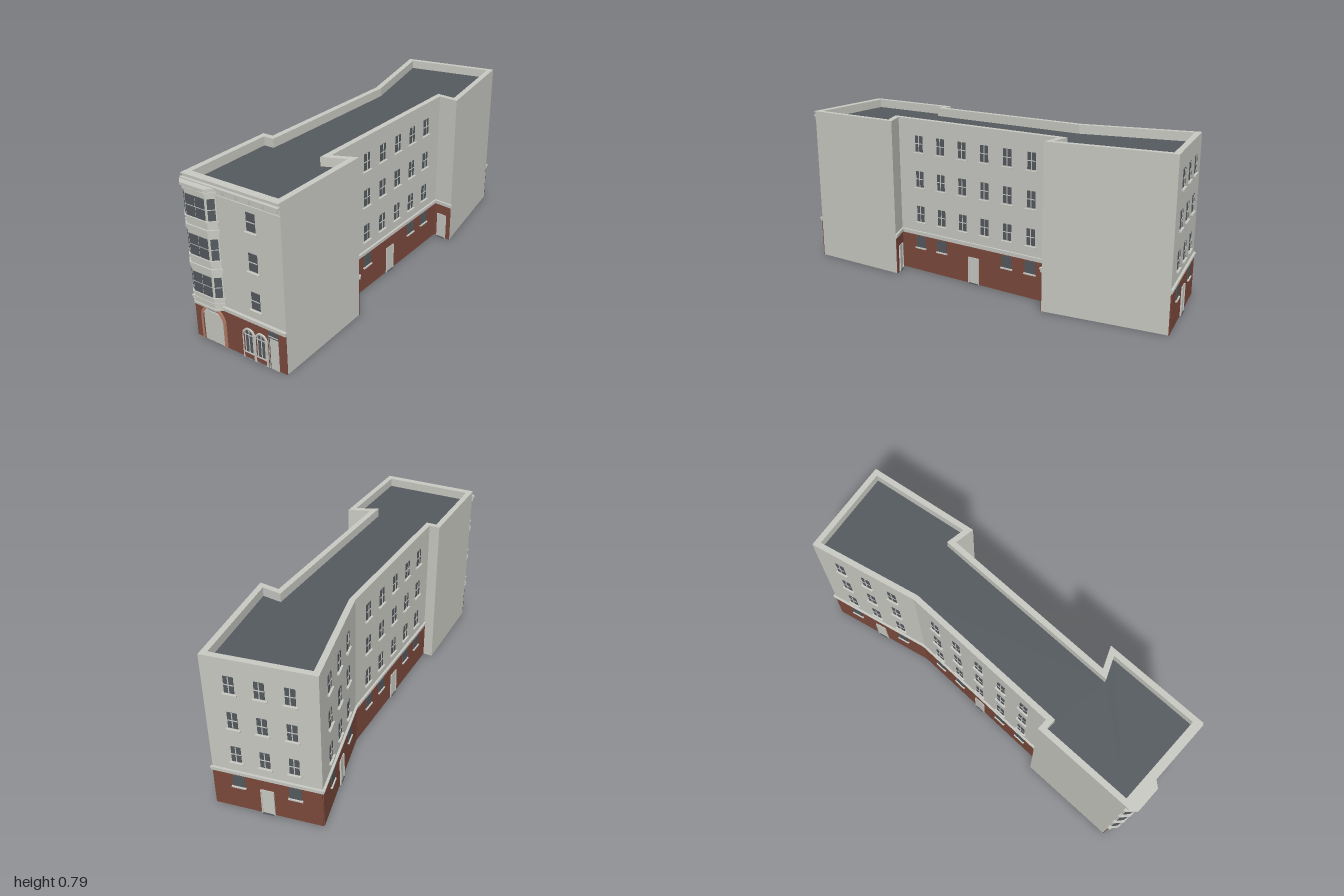
import * as THREE from 'three';

const paint = (name, color) => { const m = new THREE.MeshStandardMaterial({ color }); m.name = name; return m; };

export function createModel() {
  const render = paint('pale render', 0xcbcbc5);
  const dark = paint('slate glass', 0x555b60);
  const brick = paint('red brick', 0x7d4a3d);
  const salmon = paint('salmon brick', 0xb8806a);
  const root = new THREE.Group();
  root.name = 'building';

  const mesh = (parent, name, geo, mat) => {
    const m = new THREE.Mesh(geo, mat);
    m.name = name;
    parent.add(m);
    return m;
  };
  // box centred on x, standing on y, its back at z
  const box = (parent, name, mat, w, h, d, x, y, z = 0) =>
    mesh(parent, name, new THREE.BoxGeometry(w, h, d).translate(x, y + h / 2, z + d / 2), mat);
  // plan outline [x, z] raised from y0 to y1
  const planShape = pts => new THREE.Shape(pts.map(([x, z]) => new THREE.Vector2(x, -z)));
  const raise = (parent, name, mat, shape, y0, y1) => {
    const geo = new THREE.ExtrudeGeometry(shape, { depth: y1 - y0, bevelEnabled: false });
    return mesh(parent, name, geo.rotateX(-Math.PI / 2).translate(0, y0, 0), mat);
  };
  // group whose x runs along a wall and whose z points out of it
  const wallFrame = (name, a, b) => {
    const g = new THREE.Group();
    g.name = name;
    g.position.set(a[0], 0, a[1]);
    g.rotation.y = Math.atan2(a[1] - b[1], b[0] - a[0]);
    g.userData.length = Math.hypot(b[0] - a[0], b[1] - a[1]);
    root.add(g);
    return g;
  };
  // move every side of a closed outline inwards
  const inset = (pts, d) => pts.map((p, i) => {
    const q = pts[(i + pts.length - 1) % pts.length], r = pts[(i + 1) % pts.length];
    const unit = (a, b) => { const l = Math.hypot(b[0] - a[0], b[1] - a[1]); return [(b[0] - a[0]) / l, (b[1] - a[1]) / l]; };
    const u = unit(q, p), v = unit(p, r);
    const n1 = [u[1], -u[0]], n2 = [v[1], -v[0]];
    const k = d / (1 + n1[0] * n2[0] + n1[1] * n2[1]);
    return [p[0] + (n1[0] + n2[0]) * k, p[1] + (n1[1] + n2[1]) * k];
  });

  // outer walls, parapet and flat roof
  const plan = [
    [-0.228, 0.955], [0.278, 0.955], [0.28, 0.44], [0.172, 0.485], [0.183, -0.428],
    [0.285, -0.415], [0.207, -0.994], [-0.285, -0.915], [-0.162, -0.365], [-0.175, 0.455], [-0.228, 0.455],
  ];
  const inner = inset(plan, 0.028);
  const ring = planShape(plan);
  ring.holes.push(planShape(inner));
  raise(root, 'outer walls', render, ring, 0, 0.79);
  raise(root, 'flat roof', dark, planShape(inner), 0.735, 0.747);

  const rows = [0.265, 0.447, 0.628];
  const sashWindow = (g, x, y, mullion) => {
    box(g, 'window glass', dark, 0.044, 0.08, 0.003, x, y);
    box(g, 'sash rail', render, 0.044, 0.004, 0.005, x, y + 0.039);
    if (mullion) box(g, 'window mullion', render, 0.004, 0.08, 0.005, x, y);
    box(g, 'window sill', render, 0.064, 0.007, 0.011, x, y - 0.012);
  };
  const brickBase = g => {
    const l = g.userData.length;
    box(g, 'brick base', brick, l, 0.192, 0.004, l / 2, 0);
    box(g, 'ledge', render, l + 0.01, 0.012, 0.007, l / 2, 0.191);
    box(g, 'ledge top', render, l + 0.014, 0.008, 0.011, l / 2, 0.203);
  };
  const plainDoor = (g, x, w = 0.056) => {
    box(g, 'door', render, w, 0.135, 0.003, x, 0.002, 0.004);
    box(g, 'door inner side', dark, w, 0.13, 0.003, x, 0.002, -0.032);
    for (const s of [-1, 1]) box(g, 'door jamb', render, 0.005, 0.137, 0.007, x + s * w / 2, 0, 0.004);
    box(g, 'door step', dark, w, 0.004, 0.008, x, 0, 0.004);
  };
  const groundWindow = (g, x) => {
    box(g, 'ground window', dark, 0.056, 0.06, 0.003, x, 0.126, 0.004);
    box(g, 'ground sill', render, 0.066, 0.006, 0.009, x, 0.119, 0.004);
  };

  // wings: columns of windows, ground windows beside one door
  const wings = [
    ['right wing', 3, [0.14, 0.285, 0.427, 0.57, 0.712, 0.855], [0.14, 0.285, 0.712, 0.855], 0.5],
    ['back wall', 6, [0.24, 0.5, 0.76], [0.24, 0.76], 0.5],
    ['angled left wall', 7, [0.24, 0.5, 0.76], [0.24, 0.76], 0.5],
    ['left wing', 8, [0.155, 0.325, 0.5, 0.675, 0.845], [0.155, 0.325, 0.675, 0.845], 0.5],
  ];
  for (const [name, i, cols, ground, door] of wings) {
    const g = wallFrame(name, plan[i], plan[i + 1]), l = g.userData.length;
    brickBase(g);
    for (const t of cols) for (const y of rows) sashWindow(g, t * l, y, true);
    for (const t of ground) groundWindow(g, t * l);
    plainDoor(g, door * l);
  }
  // short return walls with a door each
  for (const i of [2, 4]) {
    const g = wallFrame('return wall', plan[i], plan[i + 1]);
    brickBase(g);
    plainDoor(g, g.userData.length / 2, 0.05);
  }

  // front wall
  const front = new THREE.Group();
  front.name = 'front wall';
  front.position.z = 0.955;
  front.userData.length = 0.506;
  root.add(front);
  box(front, 'front brick base', brick, 0.506, 0.193, 0.004, 0.025, 0);
  box(front, 'front ledge', render, 0.512, 0.012, 0.01, 0.025, 0.193);
  box(front, 'front ledge top', render, 0.516, 0.007, 0.014, 0.025, 0.205);
  for (const y of rows) sashWindow(front, 0.127, y - 0.003, false);

  // front cornice with dentils and brackets
  box(front, 'lower moulding', render, 0.32, 0.004, 0.005, 0.118, 0.732);
  box(front, 'cornice', render, 0.506, 0.008, 0.014, 0.025, 0.764);
  box(front, 'parapet coping', render, 0.506, 0.007, 0.009, 0.025, 0.783);
  for (let x = -0.035; x < 0.275; x += 0.011) box(front, 'dentil', render, 0.006, 0.006, 0.009, x, 0.758);
  for (let i = 0; i < 5; i++) box(front, 'bracket', render, 0.008, 0.02, 0.011, -0.01 + i * 0.069, 0.744);

  // arched outlines and openings
  const arch = (r, spring, y0 = 0, C = THREE.Shape) => {
    const s = new C();
    s.moveTo(-r, y0);
    s.lineTo(-r, spring);
    s.absarc(0, spring, r, Math.PI, 0, true);
    s.lineTo(r, y0);
    s.closePath();
    return s;
  };
  const plate = (name, mat, shape, depth, x, z) =>
    mesh(front, name, new THREE.ExtrudeGeometry(shape, { depth, bevelEnabled: false, curveSegments: 16 }).translate(x, 0, z), mat);
  const archFrame = (name, mat, r, t, spring, depth, x) => {
    const s = arch(r, spring);
    s.holes.push(arch(r - t, spring, 0.0005, THREE.Path));
    plate(name, mat, s, depth, x, 0.004);
  };

  // gateway
  archFrame('gateway arch', salmon, 0.071, 0.013, 0.118, 0.007, -0.12);
  plate('gateway fanlight', dark, arch(0.058, 0.118), 0.002, -0.12, 0.004);
  box(front, 'gateway door', render, 0.113, 0.153, 0.004, -0.118, 0.003, 0.004);
  box(front, 'gateway rail', render, 0.1, 0.004, 0.004, -0.12, 0.158, 0.004);
  box(front, 'gateway inner side', dark, 0.11, 0.15, 0.003, -0.12, 0.002, -0.031);

  // twin arched windows
  for (const x of [0.08, 0.147]) {
    archFrame('arched window frame', render, 0.0335, 0.007, 0.121, 0.007, x);
    plate('arched window glass', dark, arch(0.0265, 0.121, 0.03), 0.002, x, 0.004);
    for (const dx of [-0.021, 0, 0.021]) box(front, 'arched window mullion', render, 0.004, 0.112, 0.004, x + dx, 0.03, 0.004);
    box(front, 'arched window transom', render, 0.053, 0.004, 0.004, x, 0.119, 0.004);
    box(front, 'arched window sill', render, 0.053, 0.005, 0.006, x, 0.027, 0.004);
  }

  // entrance door
  box(front, 'entrance door', render, 0.05, 0.154, 0.004, 0.213, 0, 0.004);
  box(front, 'entrance fanlight', dark, 0.05, 0.031, 0.003, 0.213, 0.154, 0.004);
  box(front, 'fanlight rail', render, 0.05, 0.004, 0.005, 0.213, 0.161, 0.004);
  box(front, 'door edge', dark, 0.003, 0.154, 0.005, 0.194, 0, 0.004);

  // bay window: o is how far a moulding stands out
  const bayPlan = o => [
    [-0.228 - o, 0.95], [-0.228 - o, 0.957], [-0.195 - o / 2, 0.985 + o],
    [-0.08 + o / 2, 0.985 + o], [-0.048 + o, 0.957], [-0.048 + o, 0.95],
  ];
  const bayLayer = (name, o, y0, y1) => raise(root, name, render, planShape(bayPlan(o)), y0, y1);
  bayLayer('bay body', 0, 0.2, 0.762);
  bayLayer('bay foot', 0.005, 0.193, 0.203);
  bayLayer('bay top cornice', 0.014, 0.756, 0.768);
  bayLayer('bay cornice bed', 0.006, 0.737, 0.747);
  for (const y of [0.25, 0.43, 0.612]) {
    bayLayer('bay sill', 0.006, y, y + 0.007);
    if (y > 0.3) {
      bayLayer('bay moulding', 0.007, y - 0.047, y - 0.032);
      bayLayer('bay head', 0.003, y - 0.06, y - 0.047);
    } else bayLayer('bay apron', 0.003, y - 0.032, y - 0.02);
  }
  const p = bayPlan(0);
  for (const i of [1, 2, 3]) {
    const g = wallFrame('bay face', p[i], p[i + 1]), l = g.userData.length;
    const panes = i === 2 ? [[0.0295, 0.05], [0.0835, 0.05]] : [[l / 2, 0.031]];
    for (const y of [0.258, 0.439, 0.621]) for (const [x, w] of panes) {
      box(g, 'lower pane', dark, w, 0.046, 0.002, x, y);
      box(g, 'upper pane', dark, w, 0.046, 0.002, x, y + 0.051);
    }
    for (let x = 0.004; x < l; x += 0.0095) box(g, 'bay dentil', render, 0.005, 0.006, 0.008, x, 0.749);
  }
  return root;
}
